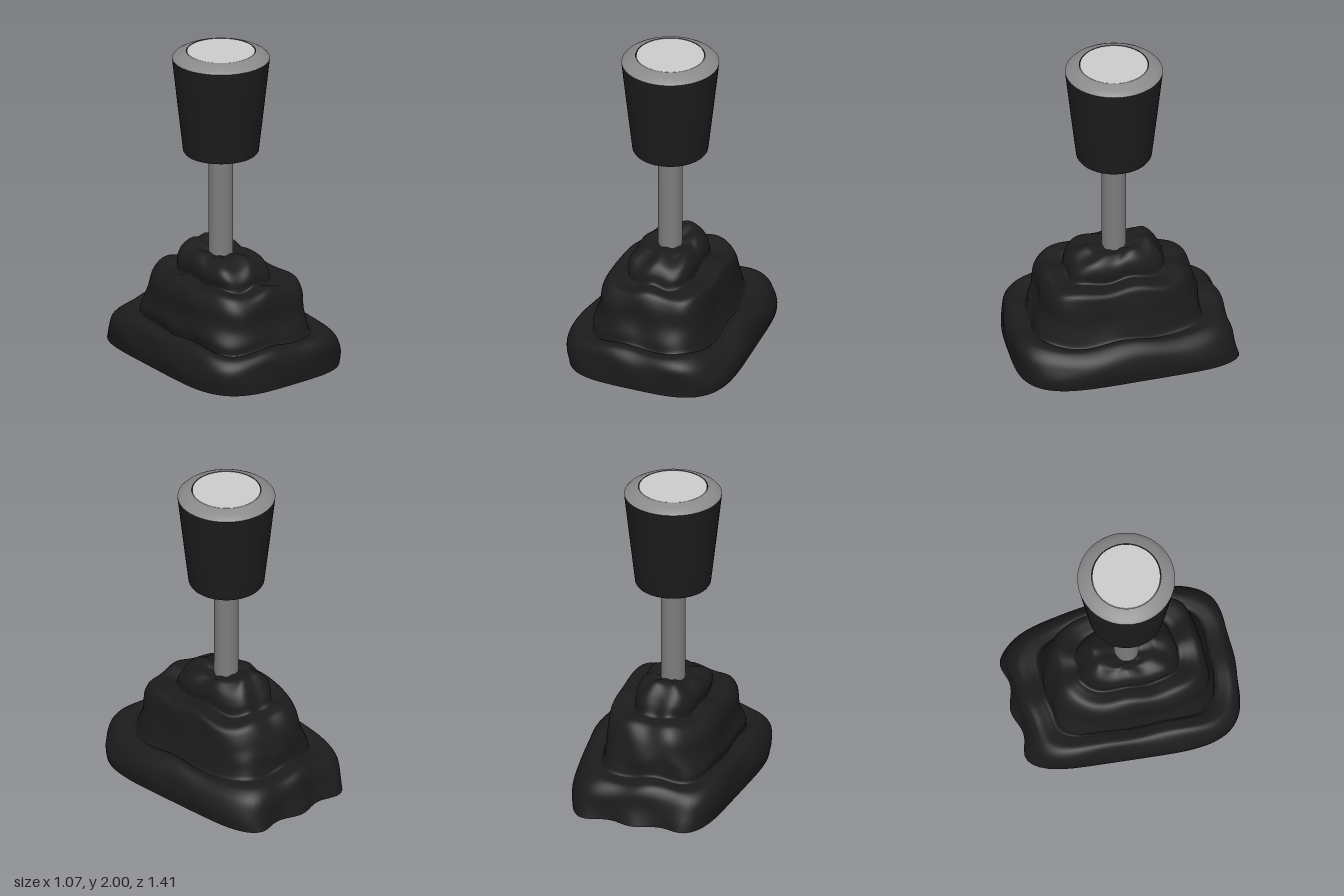
import * as THREE from 'three';

const black = new THREE.MeshStandardMaterial({ color: 0x1c1c1c });
const steel = new THREE.MeshStandardMaterial({ color: 0x7c7c7c });
const trim = new THREE.MeshStandardMaterial({ color: 0x8a8a8a });
const silver = new THREE.MeshStandardMaterial({ color: 0xcccccc });

// Leather boot rings: [height, left x, right x, back z, front z, extra height at the back]
const RINGS = [
  [0.00, -0.50, 0.50, -0.68, 0.695, 0],
  [0.09, -0.515, 0.515, -0.66, 0.70, 0],
  [0.18, -0.50, 0.49, -0.645, 0.695, 0],
  [0.235, -0.46, 0.43, -0.60, 0.65, 0],
  [0.225, -0.40, 0.38, -0.53, 0.58, 0.01],
  [0.215, -0.375, 0.36, -0.49, 0.555, 0.02],
  [0.27, -0.385, 0.345, -0.48, 0.54, 0.01],
  [0.36, -0.365, 0.33, -0.475, 0.51, 0],
  [0.47, -0.36, 0.32, -0.44, 0.50, 0],
  [0.54, -0.32, 0.30, -0.385, 0.46, 0],
  [0.54, -0.26, 0.22, -0.32, 0.39, 0.01],
  [0.535, -0.22, 0.17, -0.285, 0.34, 0.02],
  [0.60, -0.23, 0.17, -0.26, 0.325, 0.02],
  [0.655, -0.21, 0.15, -0.22, 0.28, 0.03],
  [0.69, -0.15, 0.10, -0.16, 0.18, 0.04],
  [0.68, -0.11, 0.05, -0.06, 0.11, 0.02],
];

function bootGeometry() {
  const seg = 112, steps = 75;
  const a = new THREE.CatmullRomCurve3(RINGS.map(r => new THREE.Vector3(r[0], r[1], r[2])), false, 'catmullrom');
  const b = new THREE.CatmullRomCurve3(RINGS.map(r => new THREE.Vector3(r[3], r[4], r[5])), false, 'catmullrom');
  const pos = [], index = [];

  // One rounded-rectangle loop, tapered to the back and wrinkled by sines
  function addLoop(t, scale) {
    const A = a.getPoint(t), B = b.getPoint(t);
    const low = Math.max(0, 1 - A.x / 0.25), loose = Math.min(1, A.x / 0.15) * (t > 0.93 ? 0.4 : 1);
    for (let j = 0; j < seg; j++) {
      const th = j / seg * Math.PI * 2, c = Math.cos(th), s = Math.sin(th);
      const n = s > 0 ? 3.6 : 3.4 + 3.4 * Math.max(0, 1 - A.x / 0.4);
      let r = Math.pow(Math.abs(c) ** n + Math.abs(s) ** n, -1 / n);
      r *= 1 + loose * (0.012 * Math.sin(5 * th + 9 * A.x) + 0.009 * Math.sin(9 * th - 14 * A.x + 1));
      const u = c * r, v = s * r;
      const x = (A.y + A.z) / 2 + u * (A.z - A.y) / 2 * (1 + 0.13 * v * Math.max(0.3, 1 - A.x));
      let z = (B.x + B.y) / 2 + v * (B.y - B.x) / 2;
      if (v < -0.6) z -= low * 0.02 * Math.cos(x * 19) * Math.min(1, (-v - 0.6) * 3);
      const y = A.x + B.z * Math.max(0, -v)
        + loose * (0.010 * Math.sin(7 * th + 6 * A.x) + 0.007 * Math.sin(4 * th + 2));
      pos.push(x * scale, Math.max(0, y), z * scale);
    }
  }

  // Underside, then the folds upward, then the closing skin around the lever
  addLoop(0, 0);
  addLoop(0, 1);
  for (let i = 0; i <= steps; i++) addLoop(i / steps, 1);
  for (let j = 0; j < seg; j++) pos.push(-0.03, 0.68, 0.025);
  const rows = pos.length / 3 / seg;
  for (let i = 0; i < rows - 1; i++) {
    if (i === 1) continue; // sharp edge between underside and wall
    for (let j = 0; j < seg; j++) {
      const p = i * seg + j, q = i * seg + (j + 1) % seg;
      index.push(p, p + seg, q, q, p + seg, q + seg);
    }
  }
  const g = new THREE.BufferGeometry();
  g.setAttribute('position', new THREE.Float32BufferAttribute(pos, 3));
  g.setIndex(index);
  g.computeVertexNormals();
  return g;
}

export function createModel() {
  const model = new THREE.Group();
  const add = (name, geometry, material, parent) => {
    const mesh = new THREE.Mesh(geometry, material);
    mesh.name = name;
    parent.add(mesh);
    return mesh;
  };
  const lathe = pts => new THREE.LatheGeometry(pts.map(p => new THREE.Vector2(...p)), 64);

  add('boot', bootGeometry(), black, model);

  // Lever and knob share one axis
  const lever = new THREE.Group();
  lever.name = 'lever';
  lever.position.set(-0.03, 0, 0.025);
  model.add(lever);

  add('rod', new THREE.CylinderGeometry(0.075, 0.075, 0.74, 40), steel, lever).position.y = 1.0;

  // Tapered grip with a flat underside
  add('gripUnderside', lathe([[0, 1.34], [0.225, 1.34]]), black, lever);
  add('gripSide', lathe([[0.225, 1.34], [0.233, 1.352], [0.267, 1.65], [0.299, 1.94], [0.3, 1.955]]), black, lever);
  add('gripTop', lathe([[0.3, 1.955], [0, 1.955]]), black, lever);

  // Rounded trim ring around the inset disc
  add('trimRing', lathe([[0.3, 1.955], [0.288, 1.968], [0.262, 1.983], [0.225, 1.997], [0.213, 2.0]]), trim, lever);
  add('trimInner', lathe([[0.213, 2.0], [0.213, 1.955]]), black, lever);
  add('topDisc', new THREE.CylinderGeometry(0.209, 0.209, 0.04, 64), silver, lever).position.y = 1.979;

  return model;
}
